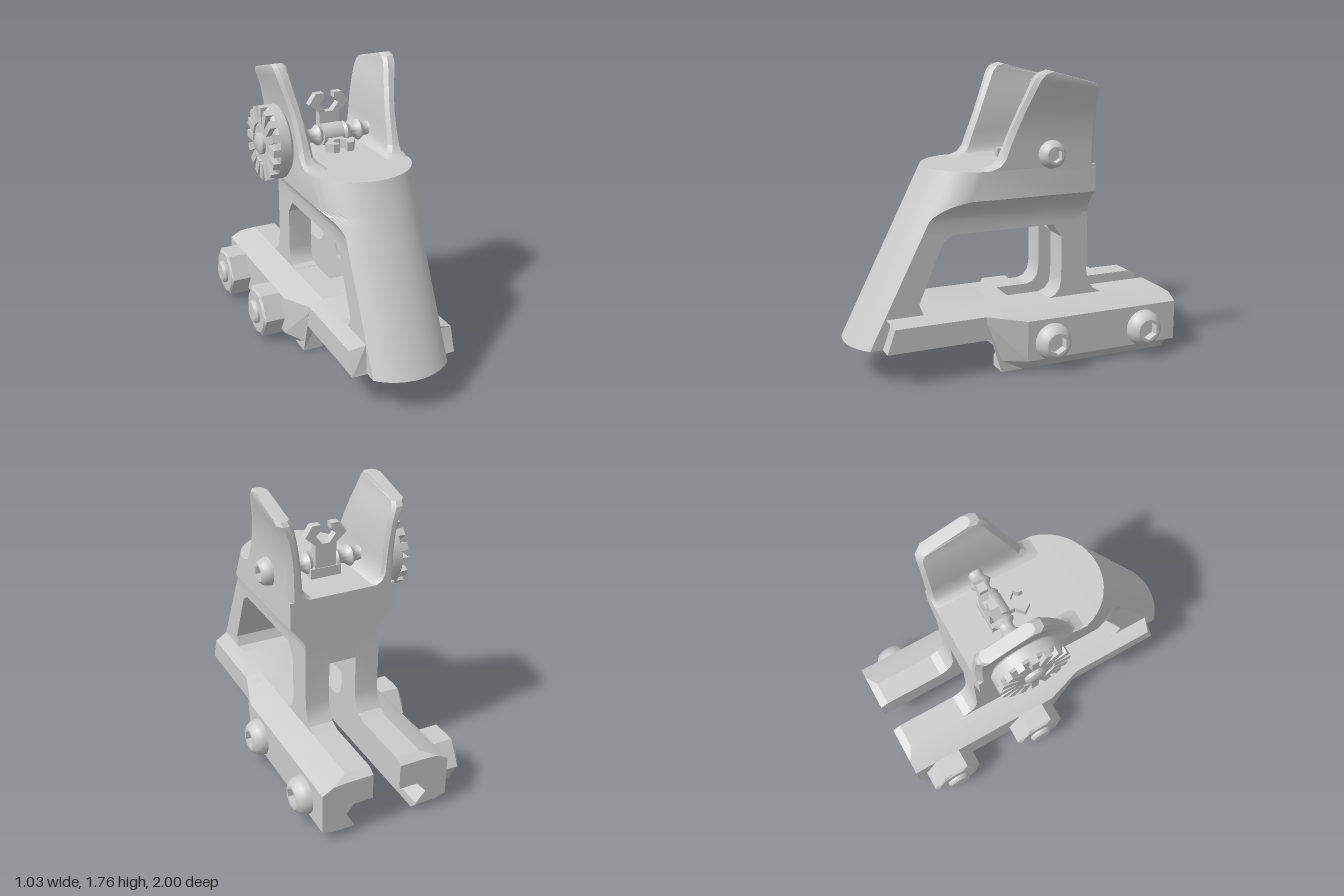
import * as THREE from 'three';
import { toCreasedNormals } from 'three/addons/utils/BufferGeometryUtils.js';

const mat = new THREE.MeshStandardMaterial({ color: 0xcccccc });

// Skin a list of rings (equal-length 2D outlines, placed in space by map) and cap both ends.
function loft(rings, map, crease = 0.5) {
  const flip = THREE.ShapeUtils.isClockWise(rings[0].map(p => new THREE.Vector2(...p)));
  const outlines = rings.map(r => (flip ? [...r].reverse() : r));
  const pts = outlines.map((r, i) => r.map(p => new THREE.Vector3(...map(p, i))));
  const n = rings[0].length, last = rings.length - 1, tris = [];
  for (let i = 0; i < last; i++) {
    for (let j = 0; j < n; j++) {
      const k = (j + 1) % n, [a, b, c, d] = [pts[i][j], pts[i][k], pts[i + 1][k], pts[i + 1][j]];
      tris.push([a, b, c], [a, c, d]);
    }
  }
  const cap = i => THREE.ShapeUtils.triangulateShape(outlines[i].map(p => new THREE.Vector2(...p)), []);
  cap(0).forEach(([a, b, c]) => tris.push([pts[0][a], pts[0][c], pts[0][b]]));
  cap(last).forEach(([a, b, c]) => tris.push([pts[last][a], pts[last][b], pts[last][c]]));
  // Turn the skin outward whichever way the rings were mapped.
  const volume = tris.reduce((s, [a, b, c]) => s + a.dot(b.clone().cross(c)), 0);
  const out = volume < 0 ? tris.map(([a, b, c]) => [a, c, b]) : tris;
  const geo = new THREE.BufferGeometry().setFromPoints(out.flat());
  return toCreasedNormals(geo, crease);
}

function add(parent, name, geo, x = 0, y = 0, z = 0) {
  const mesh = new THREE.Mesh(geo, mat);
  mesh.name = name;
  mesh.position.set(x, y, z);
  parent.add(mesh);
  return mesh;
}

const circle = (r, n = 24) => Array.from({ length: n }, (_, i) => {
  const a = (i / n) * Math.PI * 2;
  return [r * Math.cos(a), r * Math.sin(a)];
});
const hexagon = (r, n = 24) => circle(1, n).map(([c, s], i) => {
  const a = (((i / n) * 6) % 1) * Math.PI / 3 - Math.PI / 6;
  const k = r * Math.cos(Math.PI / 6) / Math.cos(a);
  return [c * k, s * k];
});
// Turned part along x: [radius, x] pairs.
const lathe = (profile, n = 32) => toCreasedNormals(
  new THREE.LatheGeometry(profile.map(p => new THREE.Vector2(...p)), n).rotateZ(-Math.PI / 2), 0.6);

// Button head with a hex socket, facing +x.
function buttonHead(r, h) {
  const rings = [circle(r), circle(r), circle(r * 0.93), circle(r * 0.8), circle(r * 0.62),
    hexagon(r * 0.52), hexagon(r * 0.52)];
  const xs = [-0.06, 0.2 * h, 0.55 * h, 0.83 * h, h, h, 0.35 * h];
  return loft(rings, ([a, b], i) => [xs[i], a, b]);
}

// Plan section of the sloping body: round nose, flat sides, square back.
const NOSE = 0.336;
function section([y, w, back]) {
  const centre = 1 - (y - 0.21) * 0.505 - NOSE, a = Math.asin(w / NOSE), ring = [];
  for (let i = 0; i <= 20; i++) {
    const t = -a + (2 * a * i) / 20;
    ring.push([NOSE * Math.sin(t), centre + NOSE * Math.cos(t)]);
  }
  return [...ring, [w, back], [-w, back]];
}
const body = levels => loft(levels.map(section), ([x, z], i) => [x, levels[i][0], z]);

// Notched leaf of the flip sight, in its own plane.
function leaf(scale, t) {
  const half = [[0.065, -0.06], [0.065, 0.13], [0.13, 0.185], [0.085, 0.25], [0.033, 0.25],
    [0.033, 0.215], [0.062, 0.185], [0.022, 0.135]];
  const ring = [...half, ...half.map(([x, y]) => [-x, y]).reverse()].map(([x, y]) => [x * scale, y * scale]);
  return loft([ring, ring], ([x, y], i) => [x, y, (i - 0.5) * t]);
}

export function createModel() {
  const root = new THREE.Group();
  root.name = 'rearSight';
  const g = new THREE.Group();
  g.name = 'sightAssembly';
  g.position.x = 0.035;
  root.add(g);

  // Sloping front column and flared upper block
  add(g, 'frontColumn', body([[0.21, 0.235, 0.5], [0.385, 0.235, 0.5], [0.386, 0.235, 0.585],
    [0.45, 0.235, 0.61], [0.8, 0.235, 0.46], [0.845, 0.235, 0.39]]));
  add(g, 'upperBlock', body([[0.84, 0.235, -0.46], [0.92, 0.235, -0.46], [0.95, 0.244, -0.46],
    [0.98, 0.264, -0.46], [1.01, 0.291, -0.46], [1.04, 0.325, -0.46], [1.205, 0.325, -0.46]]));

  // Front base with shoulders and slanted front ends
  const baseRing = [[-0.325, 0.21], [0.325, 0.21], [0.325, 0.353], [0.235, 0.385], [-0.235, 0.385], [-0.325, 0.353]];
  add(g, 'frontBase', loft([baseRing, baseRing], ([x, y], i) => [x, y,
    i ? 0.87 - (Math.abs(x) - 0.235) * 0.45 - (y - 0.21) * 0.35 : 0.13]));
  add(g, 'baseBridge', new THREE.BoxGeometry(0.18, 0.175, 0.16), 0, 0.2975, 0.08);

  const clampRing = [[0.325, 0], [0.395, 0.07], [0.395, 0.315], [0.325, 0.353], [0.235, 0.385],
    [0.085, 0.385], [0.085, 0.2], [0.2, 0.2], [0.26, 0.13], [0.2, 0.06], [0.2, 0]];
  const clampZ = [-1, -0.95, 0, 0.14];
  const postRing = [[-0.46, 0.9], [-0.46, 0.53], [-0.475, 0.46], [-0.51, 0.41], [-0.57, 0.382], [-0.57, 0.3],
    [-0.21, 0.3], [-0.21, 0.386], [-0.25, 0.4], [-0.28, 0.44], [-0.29, 0.5], [-0.29, 0.76], [-0.23, 0.842], [-0.23, 0.9]];
  // Wing levels: y, front z, inner x, outer x, rear z, drop of the rear edge
  const wing = [[1.18, 0.25, 0.18, 0.325, -0.46, 0], [1.205, 0.23, 0.19, 0.325, -0.46, 0],
    [1.225, 0.175, 0.222, 0.325, -0.46, 0], [1.26, 0.143, 0.243, 0.325, -0.46, 0], [1.35, 0.108, 0.25, 0.325, -0.46, 0],
    [1.45, 0.066, 0.258, 0.331, -0.46, 0], [1.55, 0.024, 0.273, 0.347, -0.46, 0], [1.64, -0.015, 0.289, 0.368, -0.46, 0.02],
    [1.71, -0.045, 0.3, 0.383, -0.455, 0.06], [1.745, -0.075, 0.305, 0.388, -0.435, 0.07], [1.76, -0.125, 0.31, 0.385, -0.4, 0.075]];
  const wingRing = ([, f, a, b, r]) => [[a, f - 0.025], [a + 0.02, f], [b - 0.02, f], [b, f - 0.03],
    [b, r + 0.03], [b - 0.025, r], [a + 0.02, r], [a, r + 0.02]];

  for (const s of [1, -1]) {
    const side = s > 0 ? 'left' : 'right';
    // Rail clamp with dovetail jaw, tapered at the front and chamfered at the rear
    add(g, side + 'RailClamp', loft(clampZ.map(() => clampRing), ([x, y], i) => [
      s * (i === 3 ? Math.min(x, 0.326) : x),
      i === 0 ? THREE.MathUtils.clamp(y, 0.05, 0.358) : y,
      clampZ[i] + (i === 3 ? Math.min(0.09, Math.max(0, y - 0.13) * 1.3) : 0)], 0.2));
    // Half of the slotted rear post
    add(g, side + 'RearPost', loft([postRing, postRing], ([z, y], i) => [s * (i ? 0.235 : 0.085), y, z]));
    // Protective wing
    add(g, side + 'Wing', loft(wing.map(wingRing), ([x, z], i) => {
      const [y, f, , , r, drop] = wing[i];
      return [s * x, y - drop * (f - z) / (f - r), z];
    }));
  }
  add(g, 'postSlotTop', new THREE.BoxGeometry(0.172, 0.12, 0.17), 0, 0.83, -0.375);

  // Clamp bolts and nuts
  for (const z of [-0.16, -0.775]) {
    add(g, 'boltHead', buttonHead(0.112, 0.08), 0.395, 0.175, z);
    const nut = [hexagon(0.163), hexagon(0.163), circle(0.135)];
    const nutX = [-0.38, -0.515, -0.527];
    add(g, 'nut', loft(nut, ([a, b], i) => [nutX[i], b, a], 0.3), 0, 0.175, z);
    add(g, 'boltEnd', lathe([[0, -0.555], [0.06, -0.555], [0.075, -0.54], [0.075, -0.5]]), 0, 0.175, z);
  }

  // Windage screw, its head and the thread ridges
  const axis = new THREE.Group();
  axis.name = 'windageScrew';
  axis.position.set(0, 1.28, -0.17);
  g.add(axis);
  const thread = [];
  for (let i = 0; i <= 48; i++) {
    thread.push([0.04 + 0.025 * Math.pow(0.5 + 0.5 * Math.cos((i / 8) * Math.PI * 2), 2), -0.27 + 0.54 * (i / 48)]);
  }
  add(axis, 'thread', lathe(thread));
  add(axis, 'screwHead', buttonHead(0.082, 0.062), 0.325);

  // Windage knob with a ring of teeth
  add(axis, 'knob', lathe([[0, -0.475], [0.05, -0.475], [0.065, -0.465], [0.065, -0.445], [0.12, -0.445],
    [0.13, -0.425], [0.205, -0.425], [0.222, -0.41], [0.222, -0.345], [0.2, -0.325], [0, -0.325]], 48));
  for (let i = 0; i < 16; i++) {
    const tooth = new THREE.Group();
    tooth.name = 'knobTooth';
    tooth.rotation.x = (i / 16) * Math.PI * 2;
    add(tooth, 'tooth', new THREE.BoxGeometry(0.045, 0.1, 0.045), -0.433, 0.172, 0);
    axis.add(tooth);
  }

  // Flip sight: hub, upright leaf and folded leaf
  add(axis, 'leafHub', lathe([[0, -0.066], [0.066, -0.066], [0.066, 0.066], [0, 0.066]]));
  add(axis, 'uprightLeaf', leaf(1, 0.05), 0, 0, -0.045);
  add(axis, 'foldedLeaf', leaf(0.75, 0.055), 0, -0.035, 0).rotation.x = Math.PI / 2;
  add(axis, 'leafFoot', new THREE.BoxGeometry(0.19, 0.06, 0.06), 0, -0.04, -0.045);

  return root;
}
